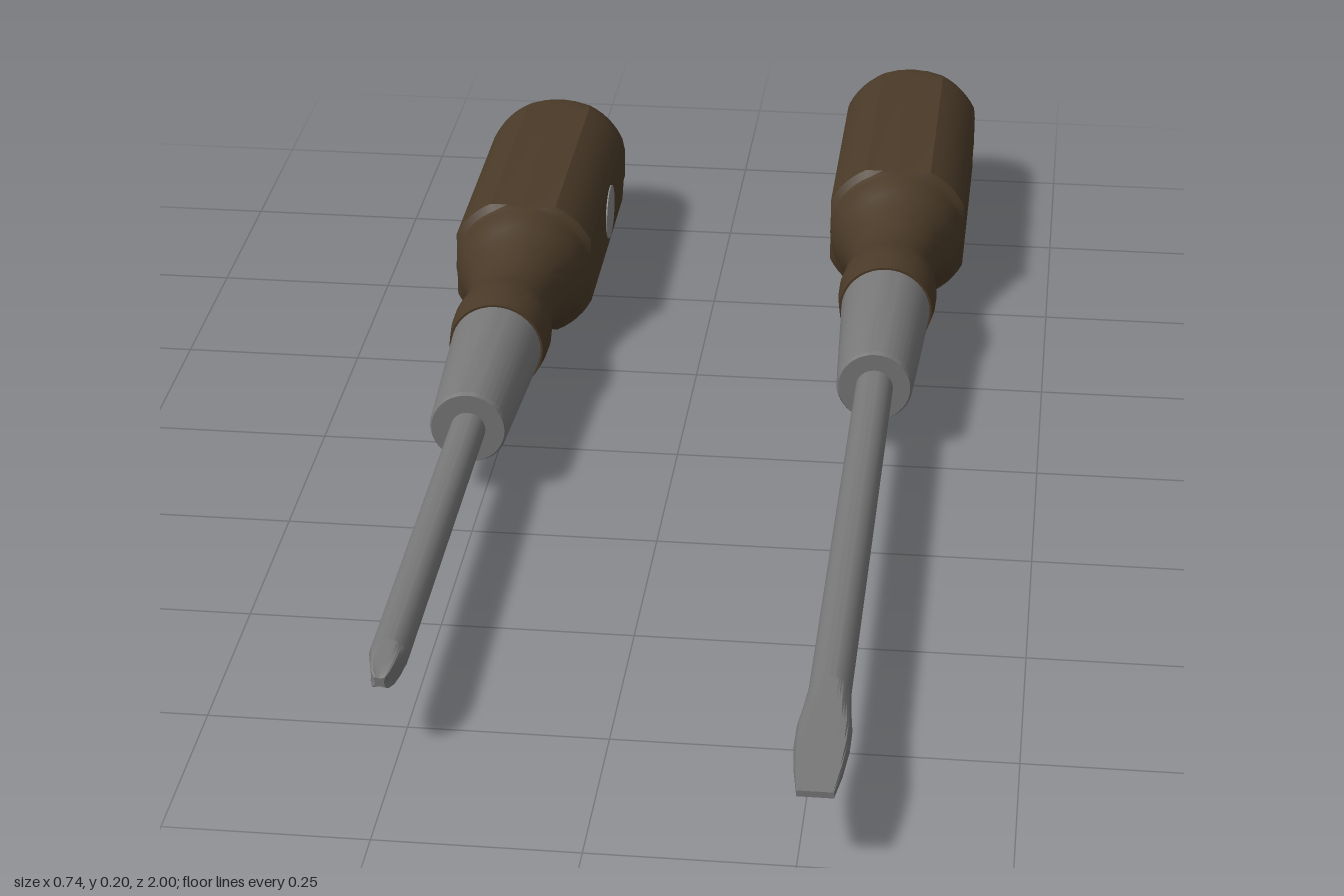
import * as THREE from 'three';
import { toCreasedNormals } from 'three/addons/utils/BufferGeometryUtils.js';

const wood = new THREE.MeshStandardMaterial({ color: 0x4a3a28 });
wood.name = 'dark brown handle';
const steel = new THREE.MeshStandardMaterial({ color: 0x777777 });
steel.name = 'grey steel';
const badge = new THREE.MeshStandardMaterial({ color: 0x888888 });
badge.name = 'light grey plate';

const FLAT = 0.1;      // distance from the axis to the flats of the grip
const GRIP = 0.111;    // radius of the grip between the flats
const clamp = THREE.MathUtils.clamp;
const evenAngles = (n) => Array.from({ length: n }, (_, i) => (i / n) * Math.PI * 2);

// Angles that land exactly on the corners between flats and rounded edges
const gripAngles = [];
const corner = Math.acos(FLAT / GRIP);
for (let q = 0; q < 4; q++) {
  const a = (q * Math.PI) / 2;
  for (const k of [-1, -0.5, 0, 0.5]) gripAngles.push(a + k * corner);
  for (let i = 0; i < 6; i++) gripAngles.push(a + corner + (i / 6) * (Math.PI / 2 - 2 * corner));
}

// Skin a closed body through cross-sections along z; rows start with z
function loft(rows, angles, section, crease = 0.42) {
  const pos = [], index = [], n = angles.length;
  for (const row of rows) for (const a of angles) {
    const [x, y] = section(row, a);
    pos.push(x, y, row[0]);
  }
  for (let i = 0; i < rows.length - 1; i++) for (let j = 0; j < n; j++) {
    const a = i * n + j, b = i * n + (j + 1) % n;
    index.push(a, b, b + n, a, b + n, a + n);
  }
  // end caps
  const last = (rows.length - 1) * n, c = rows.length * n;
  pos.push(0, 0, rows[0][0], 0, 0, rows[rows.length - 1][0]);
  for (let j = 0; j < n; j++) {
    const k = (j + 1) % n;
    index.push(c, k, j, c + 1, last + j, last + k);
  }
  const g = new THREE.BufferGeometry();
  g.setAttribute('position', new THREE.Float32BufferAttribute(pos, 3));
  g.setIndex(index);
  return toCreasedNormals(g, crease);
}

const round = ([, r], a) => [r * Math.cos(a), r * Math.sin(a)];
// Round section cut by four flats
const squared = ([, r], a) => {
  const s = Math.min(r, FLAT / Math.max(Math.abs(Math.cos(a)), Math.abs(Math.sin(a))));
  return [s * Math.cos(a), s * Math.sin(a)];
};
// Blade section: rows are z, half width, half thickness
const flattened = ([, w, h], a) => [w * Math.cos(a), clamp(0.026 * Math.sin(a), -h, h)];
// Cross tip: rows are z, radius, flute depth
const fluted = ([, r, d], a) => {
  const s = r * (1 - d * Math.abs(Math.cos(2 * a)) * (Math.abs(Math.cos(2 * a)) > 0.3 ? 1 : 0.5));
  return [s * Math.cos(a), s * Math.sin(a)];
};

function part(group, name, geometry, material) {
  const mesh = new THREE.Mesh(geometry, material);
  mesh.name = name;
  group.add(mesh);
  return mesh;
}

// Handle and ferrule shared by both tools; the handle starts at z = -1
function makeTool(name, x, z) {
  const tool = new THREE.Group();
  tool.name = name;
  tool.position.set(x, 0.1, 0);
  const handle = [];
  for (let i = 0; i <= 6; i++) {          // rounded butt
    const t = (i / 6) * Math.PI / 2;
    handle.push([-0.93 - 0.07 * Math.cos(t), 0.06 + (GRIP - 0.06) * Math.sin(t)]);
  }
  handle.push([-0.562, GRIP], [-0.555, 0.101]);
  const neck = new THREE.SplineCurve([  // waist and swell below the grip
    [-0.553, 0.1], [-0.525, 0.092], [-0.49, 0.077], [-0.44, 0.064], [-0.4, 0.063],
    [-0.36, 0.07], [-0.33, 0.071], [-0.29, 0.067],
  ].map(([a, b]) => new THREE.Vector2(a, b)));
  for (const p of neck.getPoints(24)) handle.push([p.x, p.y]);
  part(tool, 'handle', loft(handle, gripAngles, squared), wood).position.z = z;
  part(tool, 'ferrule', loft([[-0.292, 0.064], [-0.046, 0.053], [-0.04, 0.05]],
    evenAngles(40), round), steel).position.z = z;
  return tool;
}

export function createModel() {
  const model = new THREE.Group();
  model.name = 'screwdrivers';

  // Flat-blade screwdriver
  const slot = makeTool('flatBladeScrewdriver', 0.27, 0);
  part(slot, 'shaft', loft([[-0.05, 0.026], [0.78, 0.026]], evenAngles(24), round), steel);
  part(slot, 'blade', loft([
    [0.78, 0.026, 0.026], [0.82, 0.029, 0.021], [0.86, 0.033, 0.017],
    [0.9, 0.033, 0.013], [0.95, 0.029, 0.009], [1, 0.022, 0.004],
  ], evenAngles(48), flattened), steel);

  // Cross-tip screwdriver, shorter
  const cross = makeTool('crossTipScrewdriver', -0.27, 0.185);
  part(cross, 'shaft', loft([[0.13, 0.024], [0.75, 0.024]], evenAngles(24), round), steel);
  part(cross, 'crossTip', loft([
    [0.75, 0.024, 0], [0.77, 0.023, 0.15], [0.79, 0.02, 0.32], [0.805, 0.015, 0.4], [0.812, 0.009, 0.4],
  ], evenAngles(48), fluted), steel);

  // Plain oval plate on the grip's side flat
  const plate = new THREE.CylinderGeometry(1, 1, 0.004, 24).rotateZ(-Math.PI / 2).scale(1, 0.04, 0.045);
  part(cross, 'sidePlate', plate, badge).position.set(FLAT, 0, -0.59);

  model.add(slot, cross);
  return model;
}
